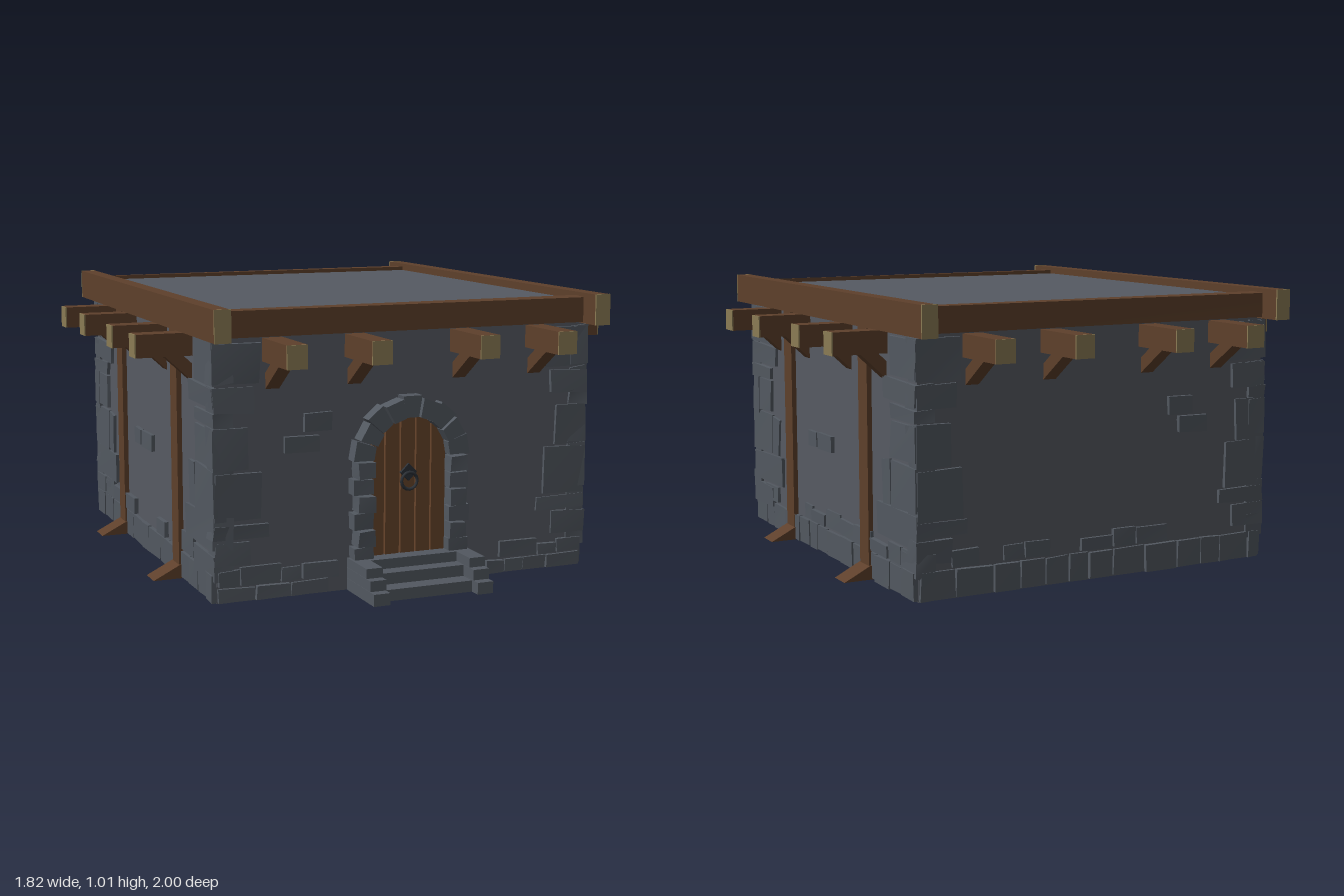
import * as THREE from 'three';

const mat = (name, color) => {
  const m = new THREE.MeshStandardMaterial({ color });
  m.name = name;
  return m;
};

export function createModel() {
  const wallMat = mat('wall grey', 0x565a62);
  const stoneMat = mat('stone grey', 0x525860);
  const woodMat = mat('beam brown', 0x5e402b);
  const doorMat = mat('door brown', 0x67442b);
  const endMat = mat('cut wood tan', 0x8b7b54);
  const ironMat = mat('iron', 0x2b3036);
  const gapMat = mat('dark gap', 0x2a211b);
  const creamMat = mat('pale timber', 0xc4b099);

  const model = new THREE.Group();
  let seed = 17;
  const rnd = () => (seed = (seed * 16807) % 2147483647) / 2147483647;

  const add = (parent, name, geo, material) => {
    const m = new THREE.Mesh(geo, material);
    m.name = name;
    parent.add(m);
    return m;
  };

  // Box from min/max corners, its eight corners nudged by up to j
  const block = (parent, name, material, x0, x1, y0, y1, z0, z1, j = 0) => {
    const g = new THREE.BoxGeometry(x1 - x0, y1 - y0, z1 - z0);
    if (j) {
      const offs = Array.from({ length: 24 }, () => (rnd() - 0.5) * 2 * j);
      const p = g.attributes.position;
      for (let i = 0; i < p.count; i++) {
        const k = 3 * ((p.getX(i) > 0 ? 1 : 0) + (p.getY(i) > 0 ? 2 : 0) + (p.getZ(i) > 0 ? 4 : 0));
        p.setXYZ(i, p.getX(i) + offs[k], p.getY(i) + offs[k + 1], p.getZ(i) + offs[k + 2] * 0.5);
      }
      g.computeVertexNormals();
    }
    const m = add(parent, name, g, material);
    m.position.set((x0 + x1) / 2, (y0 + y1) / 2, (z0 + z1) / 2);
    return m;
  };

  const HX = 0.705, HZ = 0.765; // half width and half depth of the walls

  // Arched outline shared by the doorway and the door
  const archPath = (path, r, y0, yc) => {
    path.moveTo(-r, y0);
    path.lineTo(r, y0);
    path.lineTo(r, yc);
    path.absarc(0, yc, r, 0, Math.PI, false);
    path.lineTo(-r, y0);
    return path;
  };

  // Corner stone rows: bottom, top, length
  const frontRows = [[0.75, 0.89, 0.16], [0.65, 0.735, 0.14], [0.455, 0.6, 0.115],
    [0.28, 0.45, 0.16], [0.22, 0.27, 0.185], [0.13, 0.21, 0.12]];
  const sideRows = [[0.75, 0.89, 0.19], [0.665, 0.74, 0.25], [0.605, 0.655, 0.19],
    [0.47, 0.6, 0.19], [0.3, 0.46, 0.19], [0.18, 0.295, 0.3], [0.08, 0.165, 0.2]];

  // One side, built facing +z and then turned into place
  const side = (name, angle, D, W, tip, rows, bricks, opt = {}) => {
    const g = new THREE.Group();
    g.name = name;
    g.rotation.y = angle;
    model.add(g);

    // Wall
    if (opt.door) {
      const s = new THREE.Shape([[-W, 0], [W, 0], [W, 0.92], [-W, 0.92]].map(p => new THREE.Vector2(...p)));
      s.holes.push(archPath(new THREE.Path(), 0.15, 0.1, 0.455));
      const wall = add(g, 'wall', new THREE.ExtrudeGeometry(s, { depth: 0.03, bevelEnabled: false, curveSegments: 16 }), wallMat);
      wall.position.z = D - 0.03;
    } else {
      block(g, 'wall', wallMat, -W, W, 0, 0.92, D - 0.03, D);
    }

    // Corner stones
    for (const s of [-1, 1]) {
      for (const [y0, y1, w] of rows) {
        const a = s * (W + 0.01), b = s * (W - w);
        block(g, 'cornerStone', stoneMat, Math.min(a, b), Math.max(a, b), y0, y1, D - 0.06, D + 0.012, 0.006);
      }
      // Tall narrow stone beside the corner on the long sides
      if (opt.posts) {
        const t = block(g, 'cornerStone', stoneMat, s * 0.535 - 0.035, s * 0.535 + 0.035, 0.3, 0.455, D - 0.04, D + 0.01, 0.004);
        t.rotation.z = s * 0.08;
      }
    }

    // Loose bricks in the wall
    for (const [x0, x1, y0, y1] of bricks)
      block(g, 'wallBrick', stoneMat, x0, x1, y0, y1, D - 0.05, D + 0.014, 0.003);

    // Footing courses
    const h = opt.door ? 0.05 : 0.1;
    const top = opt.door ? 0.06 : 0.065;
    for (let c = 0; c < 2; c++) {
      for (let x = -W; x < W - 0.04;) {
        const w = Math.min(0.07 + rnd() * 0.09, W - x);
        const keep = c === 0 || rnd() < 0.65;
        const blocked = opt.door && x + w > -0.225 && x < 0.225;
        const y0 = c ? h + 0.004 : 0;
        const y1 = c ? h + top + (rnd() - 0.5) * 0.03 : h;
        if (keep && !blocked)
          block(g, 'footingStone', stoneMat, x + 0.003, x + w - 0.003, y0 + 0.004, y1, D - 0.05, D + 0.008 + rnd() * 0.01, 0.003);
        x += w;
      }
    }

    // Rafters with pale ends and slanting braces
    for (const x of [-0.5, -0.2, 0.2, 0.5]) {
      block(g, 'rafter', woodMat, x - 0.036, x + 0.036, 0.82, 0.9, D - 0.1, tip - 0.005);
      block(g, 'rafterEnd', endMat, x - 0.036, x + 0.036, 0.82, 0.9, tip - 0.005, tip);
      const reach = opt.posts ? 0.08 : 0.115;
      const dz = reach + 0.04, dy = 0.11;
      const b = add(g, 'brace', new THREE.BoxGeometry(0.05, 0.045, Math.hypot(dz, dy) + 0.03), woodMat);
      b.position.set(x, 0.78, D + (reach - 0.04) / 2);
      b.rotation.x = -Math.atan2(dy, dz);
    }

    // Posts and wedge feet
    if (opt.posts) {
      for (const x of [-0.36, 0.36]) {
        block(g, 'post', woodMat, x - 0.038, x + 0.038, 0, 0.9, D - 0.05, D + 0.018);
        const s = new THREE.Shape([[0, 0], [0.115, 0], [0.015, 0.05], [0, 0.05]].map(p => new THREE.Vector2(...p)));
        const foot = add(g, 'postFoot', new THREE.ExtrudeGeometry(s, { depth: 0.088, bevelEnabled: false }), woodMat);
        foot.rotation.y = -Math.PI / 2;
        foot.position.set(x + 0.044, 0, D);
      }
    }
    return g;
  };

  const front = side('frontSide', 0, HZ, HX, 1.0, frontRows,
    [[-0.39, -0.29, 0.57, 0.635], [-0.46, -0.335, 0.5, 0.56]], { door: true });
  side('backSide', Math.PI, HZ, HX, 1.0, frontRows,
    [[0.29, 0.39, 0.57, 0.635], [0.335, 0.46, 0.5, 0.56]]);
  const sideBricks = [[-0.17, -0.09, 0.4, 0.46], [-0.078, 0.055, 0.4, 0.46]];
  side('leftSide', Math.PI / 2, HX, HZ, 0.91, sideRows, sideBricks, { posts: true });
  side('rightSide', -Math.PI / 2, HX, HZ, 0.91, sideRows, sideBricks, { posts: true });

  // Roof slab and the beams around it
  block(model, 'roof', wallMat, -0.69, 0.69, 0.915, 0.982, -0.75, 0.74);
  for (const s of [-1, 1]) {
    block(model, 'edgeBeam', woodMat, -0.685, 0.685, 0.905, 0.996, s * 0.767 - 0.028, s * 0.767 + 0.028, 0.003);
    block(model, 'sideBeam', woodMat, s * 0.712 - 0.028, s * 0.712 + 0.028, 0.9, 1.01, -0.876, 0.876);
    for (const t of [-1, 1])
      block(model, 'sideBeamEnd', endMat, s * 0.712 - 0.029, s * 0.712 + 0.029, 0.9, 1.011, t * 0.878 - 0.003, t * 0.878 + 0.003);
  }

  // Door: dark backing and five planks under the arch
  const backing = add(front, 'doorBacking', new THREE.ExtrudeGeometry(
    archPath(new THREE.Shape(), 0.15, 0.1, 0.455), { depth: 0.01, bevelEnabled: false, curveSegments: 16 }), gapMat);
  backing.position.z = 0.752;
  const archY = x => 0.455 + Math.sqrt(Math.max(0, 0.149 ** 2 - x * x));
  for (let i = 0; i < 5; i++) {
    const x0 = -0.147 + i * 0.0588 + 0.003, x1 = x0 + 0.0528;
    const s = new THREE.Shape();
    s.moveTo(x0, 0.112);
    s.lineTo(x1, 0.112);
    for (let k = 0; k <= 4; k++) {
      const x = x1 + (x0 - x1) * k / 4;
      s.lineTo(x, archY(x));
    }
    const plank = add(front, 'doorPlank', new THREE.ExtrudeGeometry(s, { depth: 0.014, bevelEnabled: false }), doorMat);
    plank.position.z = 0.762;
  }

  // Ring handle
  const plate = block(front, 'handlePlate', ironMat, -0.022, 0.022, 0.383, 0.427, 0.774, 0.786);
  plate.rotation.z = Math.PI / 4;
  const ring = add(front, 'handleRing', new THREE.TorusGeometry(0.03, 0.006, 6, 16), ironMat);
  ring.position.set(0, 0.375, 0.79);

  // Door jambs and arch stones
  for (const s of [-1, 1]) {
    for (let i = 0; i < 6; i++) {
      const y = 0.1 + i * 0.06, w = i % 2 ? 0.062 : 0.074;
      const a = s * 0.145, b = s * (0.145 + w);
      block(front, 'jambStone', stoneMat, Math.min(a, b), Math.max(a, b), y + 0.002, y + 0.057, 0.7, 0.815 + (i % 2) * 0.012, 0.003);
    }
  }
  const N = 9;
  for (let i = 0; i < N; i++) {
    const a0 = Math.PI * i / N + 0.012, a1 = Math.PI * (i + 1) / N - 0.012;
    const R = i % 2 ? 0.213 : 0.222;
    const pts = [[0.145, a0], [R, a0], [R, a1], [0.145, a1]]
      .map(([r, a]) => new THREE.Vector2(r * Math.cos(a), 0.46 + r * Math.sin(a)));
    const v = add(front, 'archStone', new THREE.ExtrudeGeometry(new THREE.Shape(pts),
      { depth: 0.115 + (i % 2) * 0.01, bevelEnabled: false }), stoneMat);
    v.position.z = 0.7;
  }

  // Entrance steps with stepped cheek stones
  [[0.115, 0.835], [0.08, 0.89], [0.04, 0.955]].forEach(([y, z]) =>
    block(front, 'step', stoneMat, -0.168, 0.168, y - 0.04, y, 0.74, z));
  for (const s of [-1, 1]) {
    [[0, 0.042, 0.998], [0.043, 0.08, 0.966], [0.081, 0.115, 0.935]].forEach(([y0, y1, z]) =>
      block(front, 'stepCheek', stoneMat, s * 0.196 - 0.03, s * 0.196 + 0.03, y0, y1, 0.74, z));
  }

  // Pale trestle standing inside: three flared supports joined by two rails
  const trestle = new THREE.Group();
  trestle.name = 'trestle';
  trestle.position.set(0.09, 0, 0.46);
  model.add(trestle);
  for (const x of [-0.42, 0, 0.42]) {
    const s = new THREE.Shape([[-0.05, 0], [0.05, 0], [0.04, 0.07], [0.08, 0.15], [-0.08, 0.15], [-0.04, 0.07]]
      .map(p => new THREE.Vector2(...p)));
    const leg = add(trestle, 'trestleSupport', new THREE.ExtrudeGeometry(s, { depth: 0.06, bevelEnabled: false }), creamMat);
    leg.position.set(x, 0.01, -0.03);
  }
  for (const z of [-0.02, 0.025]) {
    const rail = add(trestle, 'trestleRail', new THREE.CylinderGeometry(0.014, 0.014, 0.84, 8), creamMat);
    rail.rotation.z = Math.PI / 2;
    rail.position.set(0, 0.06, z);
  }
  return model;
}
